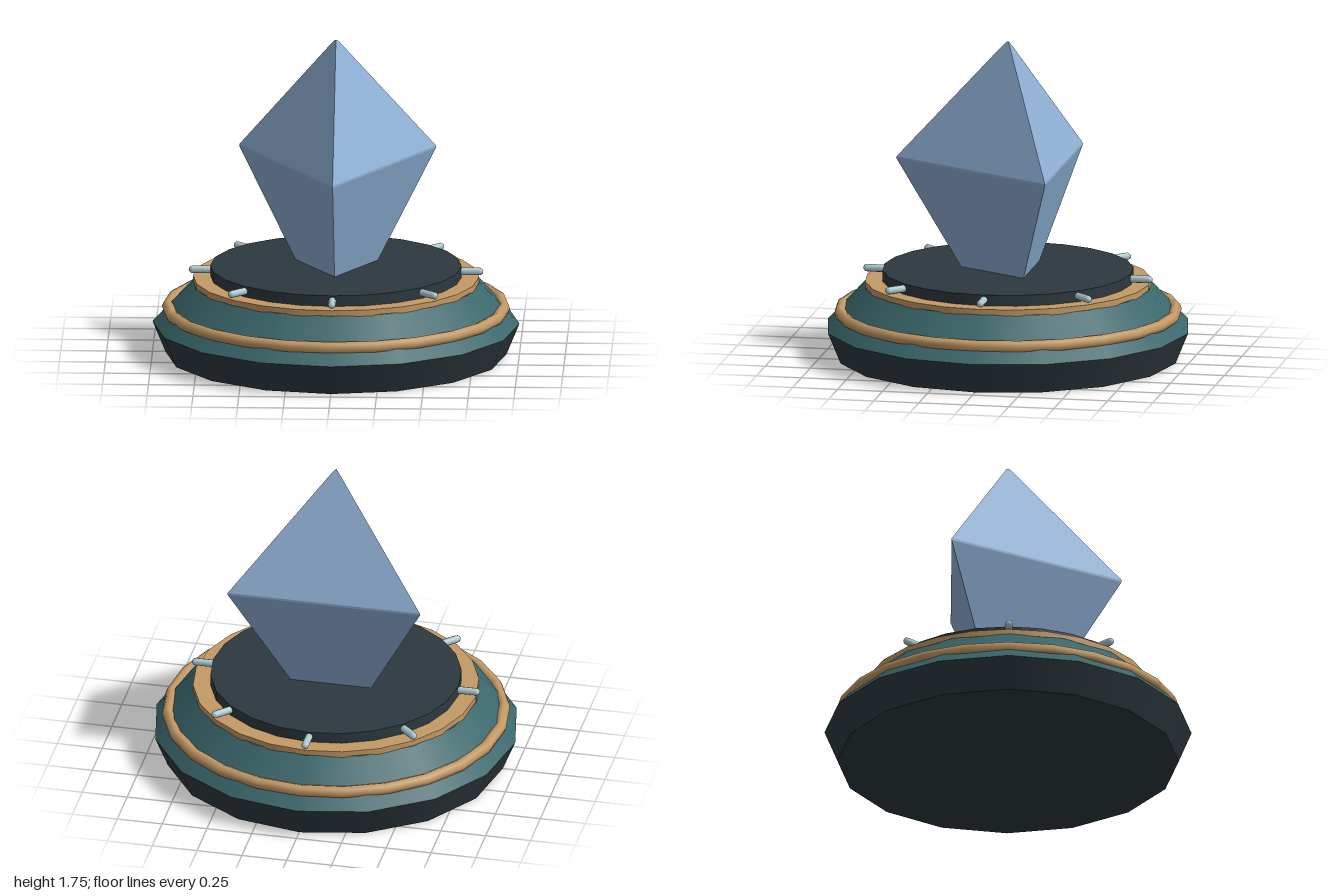
import * as THREE from 'three';

const mat = (name, color, flat = false) => {
  const m = new THREE.MeshStandardMaterial({ color, flatShading: flat });
  m.name = name;
  return m;
};

export function createModel() {
  const dark = mat('charcoal', 0x2d393f);
  const teal = mat('teal', 0x3b676c);
  const gold = mat('bronze', 0xc49a65);
  const silver = mat('pale silver', 0xafccd2);
  const blue = mat('crystal blue', 0x8fb0d6, true);

  const model = new THREE.Group();
  model.name = 'crystalPedestal';
  const add = (name, geometry, material, parent = model) => {
    const mesh = new THREE.Mesh(geometry, material);
    mesh.name = name;
    parent.add(mesh);
    return mesh;
  };
  // Upright drum or cone frustum spanning y0 to y1
  const drum = (name, y0, y1, r0, r1, sides, material, open = false) => {
    const mesh = add(name, new THREE.CylinderGeometry(r1, r0, y1 - y0, sides, 1, open), material);
    mesh.position.y = (y0 + y1) / 2;
    return mesh;
  };

  // Stepped pedestal
  drum('foot', 0, 0.17, 0.93, 1, 16, dark);
  drum('slopedBody', 0.17, 0.4, 1, 0.785, 16, teal);
  drum('upperRim', 0.395, 0.43, 0.78, 0.78, 24, gold);
  drum('topPlate', 0.43, 0.49, 0.685, 0.685, 24, dark);

  // Moulding around the slope
  const band = add('bodyBand', new THREE.TorusGeometry(0.916, 0.033, 8, 24), gold);
  band.rotation.x = Math.PI / 2;
  band.position.y = 0.255;

  // Eight radial pins
  const pins = new THREE.Group();
  pins.name = 'pins';
  model.add(pins);
  const pinShape = new THREE.CapsuleGeometry(0.021, 0.1, 3, 8);
  pinShape.rotateX(Math.PI / 2);
  for (let i = 0; i < 8; i++) {
    const a = (i * Math.PI) / 4;
    const pin = add('pin', pinShape, silver, pins);
    pin.position.set(Math.sin(a) * 0.732, 0.462, Math.cos(a) * 0.732);
    pin.rotation.y = a;
  }

  // Three-sided crystal with a narrow girdle and blunted tip
  const crystal = new THREE.Group();
  crystal.name = 'crystal';
  model.add(crystal);
  const rings = [[0.45, 0.236], [1.078, 0.619], [1.09, 0.619], [1.742, 0.022], [1.755, 0.007]];
  const names = ['crystalLower', 'crystalGirdle', 'crystalUpper', 'crystalTip'];
  names.forEach((name, i) => {
    const [y0, r0] = rings[i];
    const [y1, r1] = rings[i + 1];
    crystal.add(drum(name, y0, y1, r0, r1, 3, blue, i < 3));
  });

  return model;
}
